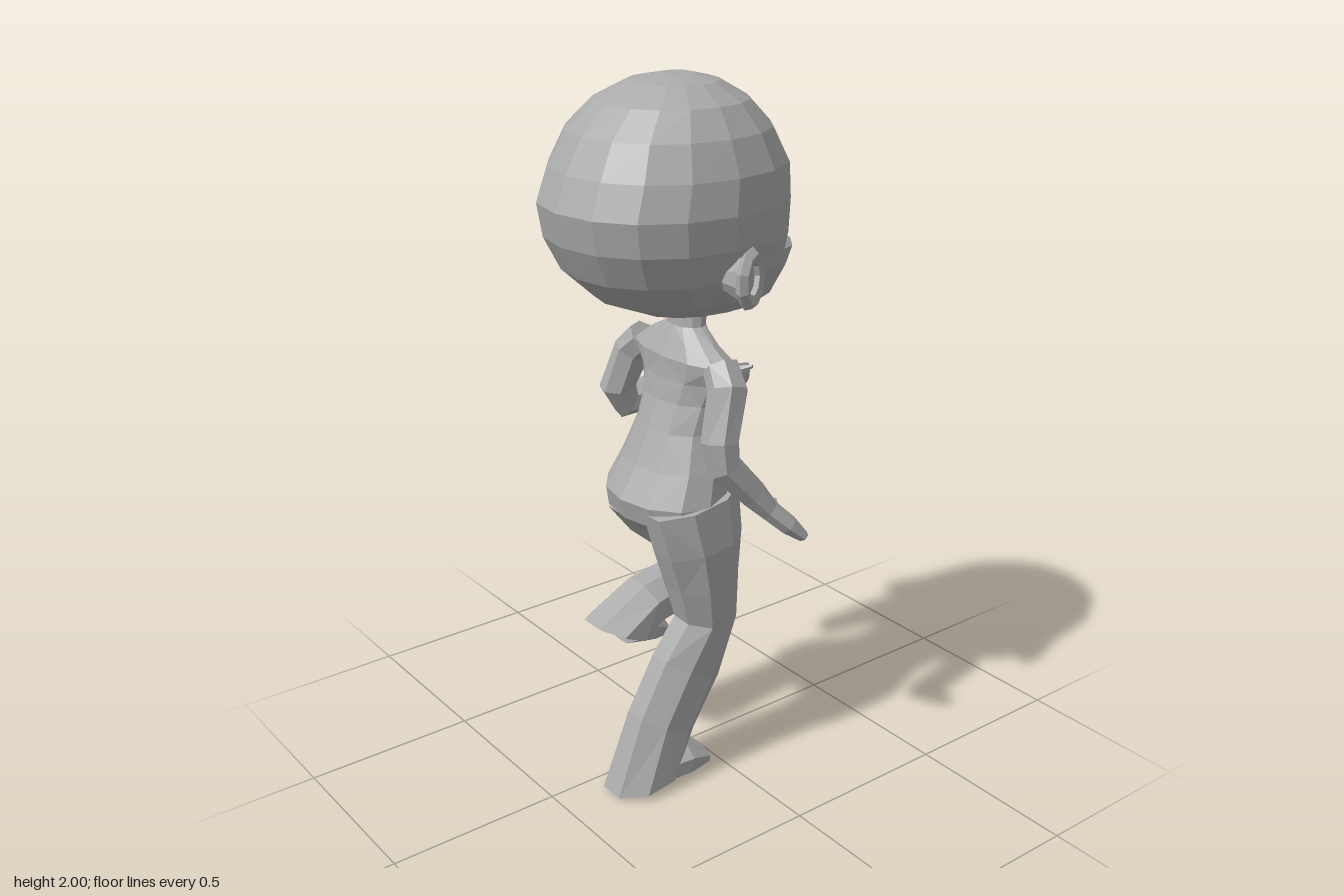
import * as THREE from 'three';

const V = (x, y, z) => new THREE.Vector3(x, y, z);

// Skin over a list of closed rings, with fan caps at both ends.
function loft(rings) {
  const pos = [];
  const n = rings[0].length;
  const tri = (...ps) => ps.forEach((p) => pos.push(p.x, p.y, p.z));
  const mid = (r) => r.reduce((s, p) => s.add(p), V(0, 0, 0)).divideScalar(n);
  const last = rings[rings.length - 1];
  const c0 = mid(rings[0]);
  const c1 = mid(last);
  for (let j = 0; j < n; j++) {
    const k = (j + 1) % n;
    for (let i = 0; i < rings.length - 1; i++) {
      const a = rings[i][j], b = rings[i][k], c = rings[i + 1][k], d = rings[i + 1][j];
      if ((i + j) % 2) { tri(a, b, c); tri(a, c, d); } else { tri(a, b, d); tri(b, c, d); }
    }
    tri(c0, rings[0][k], rings[0][j]);
    tri(c1, last[j], last[k]);
  }
  const g = new THREE.BufferGeometry();
  g.setAttribute('position', new THREE.Float32BufferAttribute(pos, 3));
  g.computeVertexNormals();
  return g;
}

// Horizontal sections from bottom to top: [y, centreX, halfWidth, zMin, zMax]
function stack(rows, n, power = 1) {
  const bend = (t) => Math.sign(t) * Math.abs(t) ** power;
  return loft(rows.map(([y, cx, w, z0, z1]) => Array.from({ length: n }, (_, j) => {
    const a = (j / n) * Math.PI * 2;
    return V(cx + w * bend(Math.sin(a)), y, (z0 + z1) / 2 + ((z1 - z0) / 2) * bend(Math.cos(a)));
  })));
}

// Sections along a bent path: [x, y, z, halfWidth, halfDepth]; endDir tilts the last one.
function limb(rows, n, endDir) {
  const p = rows.map((r) => V(r[0], r[1], r[2]));
  const step = (i) => p[i + 1].clone().sub(p[i]).normalize();
  return loft(rows.map((r, i) => {
    const t = V(0, 0, 0);
    if (i > 0) t.add(step(i - 1));
    if (i < p.length - 1) t.add(step(i));
    if (endDir && i === p.length - 1) t.copy(endDir);
    t.normalize();
    const u = V(1, 0, 0).addScaledVector(t, -t.x).normalize();
    const v = t.clone().cross(u);
    return Array.from({ length: n }, (_, j) => {
      const a = ((j + 0.5) / n) * Math.PI * 2;
      return p[i].clone().addScaledVector(u, r[3] * Math.cos(a)).addScaledVector(v, r[4] * Math.sin(a));
    });
  }));
}

export function createModel() {
  const model = new THREE.Group();
  const grey = new THREE.MeshStandardMaterial({ color: 0xaaaaaa, flatShading: true });
  grey.name = 'plain grey';
  const add = (name, geometry, parent = model) => {
    const m = new THREE.Mesh(geometry, grey);
    m.name = name;
    parent.add(m);
    return m;
  };

  // Big round head, fuller at the back (+z), flat face towards -z
  add('head', stack([
    [1.36, 0, 0.07, -0.17, 0.02], [1.385, 0, 0.14, -0.205, 0.17], [1.43, 0, 0.2, -0.23, 0.28],
    [1.51, 0, 0.265, -0.24, 0.365], [1.6, 0, 0.297, -0.247, 0.41], [1.69, 0, 0.305, -0.25, 0.425],
    [1.78, 0, 0.292, -0.247, 0.39], [1.87, 0, 0.255, -0.2, 0.34], [1.94, 0, 0.2, -0.135, 0.26],
    [1.985, 0, 0.12, -0.06, 0.17], [2.0, 0, 0.045, 0.0, 0.09],
  ], 16, 0.93));
  add('muzzle', stack([
    [1.37, 0, 0.1, -0.18, 0], [1.41, 0, 0.15, -0.225, 0], [1.49, 0, 0.185, -0.262, 0],
    [1.54, 0, 0.19, -0.288, 0], [1.57, 0, 0.17, -0.235, 0],
  ], 12));

  // Ears: raised rim around a shallow hollow, flaring away from the head
  for (const side of [1, -1]) {
    const ear = new THREE.Group();
    ear.name = side > 0 ? 'leftEar' : 'rightEar';
    add('earRim', new THREE.TorusGeometry(0.054, 0.02, 5, 9).scale(1, 1.12, 0.9), ear);
    add('earShell', new THREE.CylinderGeometry(0.062, 0.035, 0.06, 9)
      .rotateX(Math.PI / 2).scale(1, 1.12, 1).translate(0, 0, -0.034), ear);
    ear.rotation.y = side * 2.07;
    ear.position.set(side * 0.302, 1.523, 0.042);
    ear.scale.x = side;
    model.add(ear);
  }

  // Body with hips, waist, chest, shoulders and neck
  add('torso', stack([
    [0.75, -0.01, 0.14, -0.04, 0.17], [0.8, -0.01, 0.205, -0.07, 0.225], [0.86, -0.005, 0.2, -0.075, 0.24],
    [0.95, 0, 0.175, -0.08, 0.19], [1.05, 0, 0.145, -0.085, 0.148], [1.13, 0, 0.15, -0.1, 0.118],
    [1.19, 0, 0.175, -0.1, 0.105], [1.25, 0, 0.205, -0.055, 0.1], [1.29, 0, 0.14, -0.03, 0.08],
    [1.33, 0, 0.065, -0.03, 0.06], [1.43, 0, 0.055, -0.05, 0.05],
  ], 12));

  // Trailing arm, hanging with the hand forward
  add('leftArm', limb([
    [0.17, 1.25, 0.03, 0.05, 0.05], [0.215, 1.2, 0.04, 0.05, 0.06], [0.24, 1.07, 0.085, 0.05, 0.055],
    [0.25, 1.0, 0.08, 0.046, 0.05], [0.275, 0.91, 0.0, 0.035, 0.04], [0.293, 0.86, -0.04, 0.028, 0.03],
    [0.315, 0.81, -0.09, 0.036, 0.028], [0.335, 0.77, -0.13, 0.026, 0.016],
  ], 7));
  add('leftThumb', limb([
    [0.295, 0.86, -0.05, 0.018, 0.018], [0.265, 0.85, -0.08, 0.016, 0.016], [0.235, 0.85, -0.112, 0.006, 0.006],
  ], 5));

  // Leading arm, bent with the forearm reaching out
  add('rightArm', limb([
    [-0.17, 1.25, 0.03, 0.05, 0.05], [-0.215, 1.2, 0.04, 0.05, 0.06], [-0.245, 1.09, 0.075, 0.05, 0.055],
    [-0.247, 1.04, 0.045, 0.05, 0.055], [-0.24, 1.05, -0.08, 0.055, 0.05], [-0.238, 1.05, -0.2, 0.05, 0.036],
    [-0.243, 1.03, -0.28, 0.045, 0.04], [-0.257, 1.02, -0.36, 0.03, 0.042], [-0.268, 1.013, -0.422, 0.014, 0.034],
  ], 7));
  add('rightThumb', limb([
    [-0.235, 1.04, -0.27, 0.022, 0.022], [-0.195, 1.06, -0.325, 0.016, 0.016], [-0.157, 1.08, -0.353, 0.006, 0.006],
  ], 5));

  // Supporting leg with a flared trouser end
  add('leftLeg', limb([
    [0.105, 0.86, 0.08, 0.1, 0.15], [0.112, 0.73, 0.06, 0.104, 0.135], [0.11, 0.61, 0.045, 0.1, 0.11],
    [0.108, 0.48, 0.03, 0.086, 0.095], [0.1, 0.34, 0.095, 0.084, 0.115], [0.1, 0.19, 0.185, 0.086, 0.11],
    [0.098, 0.03, 0.25, 0.1, 0.122],
  ], 8, V(0, -1, -0.15)));
  add('leftFoot', limb([
    [0.098, 0.06, 0.24, 0.09, 0.058], [0.098, 0.055, 0.13, 0.092, 0.056], [0.098, 0.038, 0.055, 0.07, 0.024],
  ], 8));

  // Raised leg, knee forward and shin folded back
  add('rightLeg', limb([
    [-0.115, 0.84, 0.07, 0.1, 0.14], [-0.125, 0.74, 0.0, 0.106, 0.13], [-0.125, 0.65, -0.08, 0.096, 0.112],
    [-0.122, 0.545, -0.165, 0.086, 0.102], [-0.115, 0.475, -0.03, 0.084, 0.08], [-0.11, 0.455, 0.09, 0.092, 0.08],
    [-0.105, 0.4, 0.19, 0.1, 0.105],
  ], 8, V(0, -0.9, 0.4)));
  add('rightFoot', limb([
    [-0.105, 0.41, 0.17, 0.09, 0.055], [-0.105, 0.39, 0.1, 0.088, 0.05], [-0.105, 0.37, 0.045, 0.066, 0.022],
  ], 8));

  return model;
}
